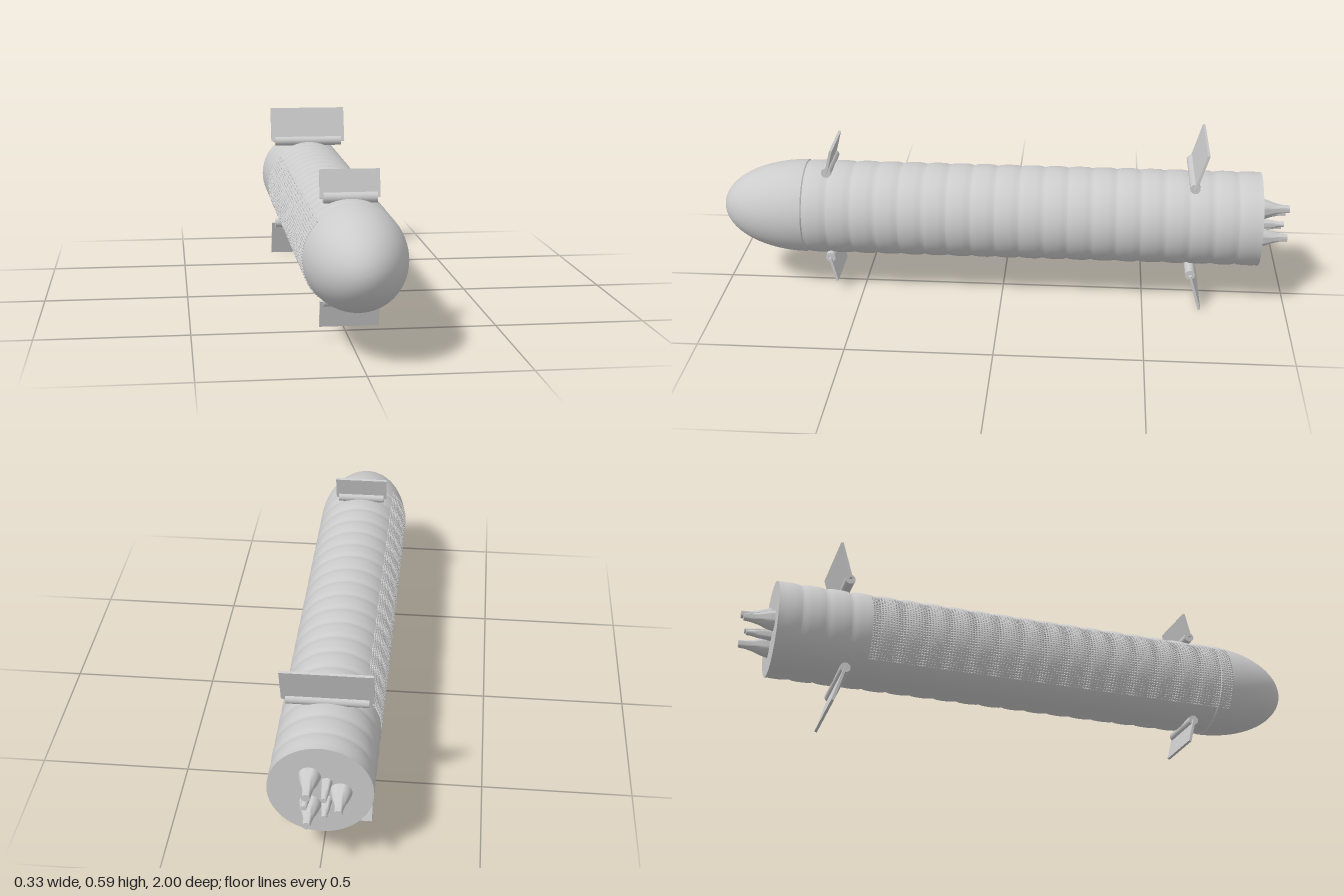
import * as THREE from 'three';
import { mergeGeometries, toCreasedNormals } from 'three/addons/utils/BufferGeometryUtils.js';

const R = 0.165;          // hull radius
const CY = 0.294;         // height of the hull axis
const FRONT = 0.7, BACK = -0.9;

export function createModel() {
  const model = new THREE.Group();
  const mat = new THREE.MeshStandardMaterial({ color: 0xcccccc });
  const hull = new THREE.Group();
  hull.name = 'rocket';
  hull.position.y = CY;
  model.add(hull);

  const add = (geometry, name, parent = hull) => {
    const mesh = new THREE.Mesh(geometry, mat);
    mesh.name = name;
    parent.add(mesh);
    return mesh;
  };
  // Lathe around the z axis from [radius, z] pairs, z increasing
  const latheZ = (pts, sides = 64) =>
    new THREE.LatheGeometry(pts.map(([r, z]) => new THREE.Vector2(r, z)), sides).rotateX(Math.PI / 2);

  // Nose dome
  const nose = [];
  for (let i = 0; i <= 24; i++) {
    const a = (i / 24) * Math.PI / 2;
    nose.push([R * Math.cos(a), FRONT + 0.3 * Math.sin(a)]);
  }
  add(latheZ(nose), 'noseCone');

  // Ribbed tank: shallow bulged bands separated by narrow grooves
  const bands = 19, pitch = (FRONT - BACK) / bands;
  const profile = [[0, BACK]];
  for (let i = 0; i < bands; i++) {
    const z = BACK + i * pitch;
    for (const [r, t] of [[R - 0.004, 0], [R - 0.001, 0.12], [R, 0.3], [R, 0.6], [R - 0.002, 0.85], [R - 0.004, 0.92]])
      profile.push([i === 0 && t === 0 ? R : r, z + t * pitch]);
  }
  profile.push([R - 0.004, FRONT - 0.004], [R, FRONT]);
  add(toCreasedNormals(latheZ(profile), 0.6), 'ribbedTank');

  // Heat shield: a grid of small round tiles on the right flank
  const tiles = [], rows = 29, columns = 138;
  const tile = new THREE.IcosahedronGeometry(0.0047, 0);
  for (let i = 0; i < rows; i++) {
    const a = Math.PI + (i / (rows - 1) - 0.5) * Math.PI / 2;
    for (let j = 0; j < columns; j++) {
      const z = -0.58 + (j / (columns - 1)) * 1.32;
      tiles.push(tile.clone().translate(0.1625 * Math.cos(a), 0.1625 * Math.sin(a), z));
    }
  }
  add(mergeGeometries(tiles), 'heatShieldTiles');

  // Flaps with hinge barrels, above and below
  const flapPair = (name, z, width, hingeWidth, rise, sweep) => {
    for (const side of [1, -1]) {
      const flap = new THREE.Group();
      flap.name = (side > 0 ? 'upper' : 'lower') + name;
      flap.position.set(0, side * R, z);
      hull.add(flap);
      add(new THREE.CylinderGeometry(0.0175, 0.0175, hingeWidth, 20).rotateZ(Math.PI / 2), 'hinge', flap);
      const panel = add(new THREE.BoxGeometry(width, Math.hypot(rise, sweep), 0.009), 'panel', flap);
      panel.position.set(0, side * rise / 2, -sweep / 2);
      panel.rotation.x = -side * Math.atan2(sweep, rise);
    }
  };
  flapPair('FrontFlap', 0.614, 0.191, 0.171, 0.087, 0.022);
  flapPair('RearFlap', -0.663, 0.292, 0.263, 0.128, 0.038);

  // Engines: three large and three small nozzles, alternating around the axis
  const nozzle = (name, angle, radius, wide, narrow, length) => {
    const z = BACK - length;
    const shape = [[0, z], [narrow, z], [narrow * 1.12, z + length * 0.25], [narrow * 1.55, z + length * 0.5],
      [wide * 0.86, z + length * 0.78], [wide, BACK]];
    add(toCreasedNormals(latheZ(shape, 24), 0.8), name)
      .position.set(radius * Math.cos(angle), radius * Math.sin(angle), 0);
  };
  for (let i = 0; i < 3; i++) {
    const a = Math.PI + i * Math.PI * 2 / 3;
    nozzle('largeNozzle', a, 0.064, 0.035, 0.013, 0.1);
    nozzle('smallNozzle', a + Math.PI, 0.04, 0.018, 0.009, 0.083);
  }

  return model;
}
